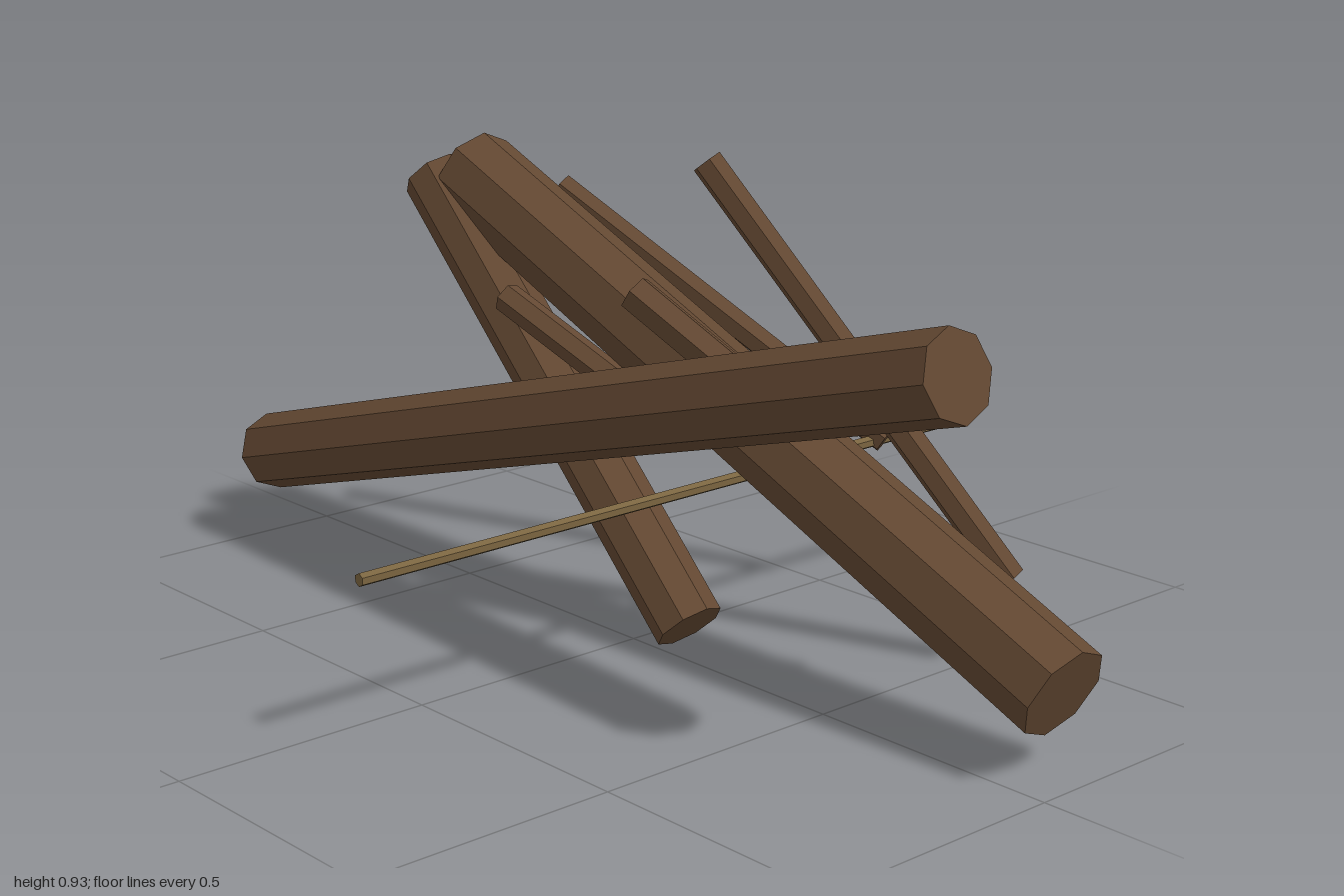
import * as THREE from 'three';

const bark = new THREE.MeshStandardMaterial({ color: 0x634832, flatShading: true });
bark.name = 'barkBrown';
const paleWood = new THREE.MeshStandardMaterial({ color: 0x7a6440, flatShading: true });
paleWood.name = 'paleWood';

// Faceted round bar running from point a to point b
function bar(name, a, b, radius, sides, material) {
  const start = new THREE.Vector3(...a);
  const end = new THREE.Vector3(...b);
  const axis = end.clone().sub(start);
  const mesh = new THREE.Mesh(
    new THREE.CylinderGeometry(radius, radius, axis.length(), sides),
    material
  );
  mesh.name = name;
  mesh.position.copy(start).add(end).multiplyScalar(0.5);
  mesh.quaternion.setFromUnitVectors(new THREE.Vector3(0, 1, 0), axis.normalize());
  return mesh;
}

export function createModel() {
  const model = new THREE.Group();
  model.name = 'logPile';

  // Heavy logs, crossed and leaning in parallel planes
  const logs = [
    ['frontLog', [-0.98, 0.185, 0.143], [0.91, 0.725, 0.143], 0.079],
    ['middleLog', [-0.575, 0.807, -0.086], [0.96, 0.157, -0.086], 0.09],
    ['shortLog', [-0.635, 0.8, -0.037], [0.115, 0.052, -0.037], 0.067],
  ];
  for (const [name, a, b, r] of logs) model.add(bar(name, a, b, r, 8, bark));

  // Thin branches scattered through the pile
  const branches = [
    ['rearBranch', [-0.47, 0.775, -0.225], [0.145, 0.325, -0.525], 0.029],
    ['steepBranch', [0.08, 0.915, -0.105], [0.575, 0.183, -0.4], 0.03],
    ['lodgedBranch', [0.05, 0.69, 0.042], [0.583, 0.32, -0.16], 0.036],
    ['innerBranch', [-0.32, 0.617, 0.04], [0.03, 0.45, -0.03], 0.03],
  ];
  for (const [name, a, b, r] of branches) model.add(bar(name, a, b, r, 6, bark));

  // Slender pale rod through the pile from front to back
  model.add(bar('rod', [0.122, 0.32, 0.714], [0.133, 0.325, -0.717], 0.012, 6, paleWood));

  return model;
}
